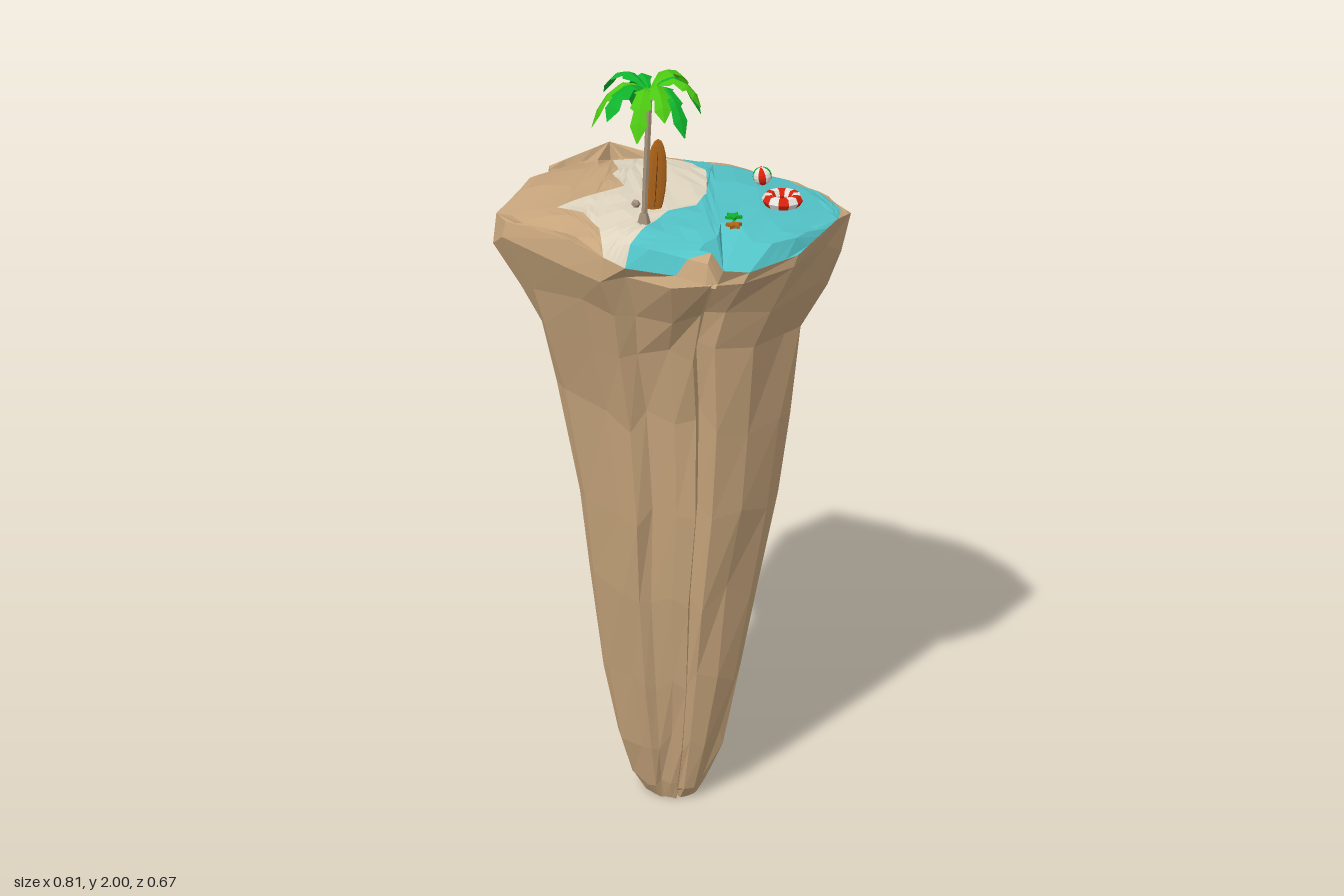
import * as THREE from 'three';

const mat = (name, color, flatShading = true, side = THREE.FrontSide) =>
  Object.assign(new THREE.MeshStandardMaterial({ color, flatShading, side }), { name });

const M = {
  rock: mat('rock brown', 0xc7a57c),
  sand: mat('pale sand', 0xded4bf),
  water: mat('lagoon teal', 0x52c2c6),
  leafDark: mat('deep green', 0x10b42c, true, THREE.DoubleSide),
  leafLight: mat('lime green', 0x4cc812, true, THREE.DoubleSide),
  trunk: mat('palm bark', 0xa39079),
  red: mat('red', 0xdc220c),
  white: mat('white', 0xe8e6e0),
  board: mat('varnished wood', 0xb0651a),
  stripe: mat('dark wood', 0x6a3a12),
};

function mesh(name, geo, material, parent) {
  const m = new THREE.Mesh(geo, material);
  m.name = name;
  parent.add(m);
  return m;
}

function fromTriangles(tris) {
  const g = new THREE.BufferGeometry();
  g.setAttribute('position', new THREE.Float32BufferAttribute(tris.flat(2), 3));
  g.computeVertexNormals();
  return g;
}

// repeatable jitter in -1..1
const jitter = (a, b) => {
  const s = Math.sin(a * 127.1 + b * 311.7) * 43758.5453;
  return (s - Math.floor(s)) * 2 - 1;
};

// height of the island top
const ground = (x, z) => {
  const edge = Math.hypot(x / (x > 0 ? 0.5 : 0.41), z / 0.33);
  return 1.66 - 0.05 * Math.min(1.1, edge ** 5) + 0.004 * Math.sin(x * 31 + z * 17) * Math.cos(z * 43);
};

// outline of the rim: x, z, y
const RIM = [
  [-0.40, -0.06, 1.61], [-0.37, -0.095, 1.60], [-0.40, -0.13, 1.615], [-0.33, -0.30, 1.635], [-0.12, -0.34, 1.60],
  [-0.03, -0.315, 1.60], [0.09, -0.33, 1.60], [0.16, -0.295, 1.62], [0.30, -0.225, 1.625], [0.405, -0.12, 1.645],
  [0.40, -0.06, 1.65], [0.375, 0.09, 1.61], [0.31, 0.20, 1.595], [0.255, 0.22, 1.595], [0.265, 0.275, 1.575],
  [0.17, 0.285, 1.59], [0.05, 0.30, 1.59], [0.0, 0.31, 1.61], [-0.10, 0.285, 1.625], [-0.30, 0.235, 1.615], [-0.34, 0.21, 1.62],
].map(([x, z, y], rim) => ({ x, z, y, rim }));

const inner = list => list.map(([x, z]) => ({ x, z, y: ground(x, z), rim: NaN }));

// region borders, shared so the patches join without gaps
const SHORE_BACK = inner([[0.37, -0.14], [0.30, -0.205], [0.20, -0.25], [0.11, -0.298], [0.06, -0.28],
  [-0.02, -0.25], [-0.09, -0.285], [-0.17, -0.295], [-0.205, -0.275], [-0.13, -0.24], [-0.06, -0.225]]);
const SAND_EDGE = inner([[-0.20, -0.21], [-0.235, -0.15], [-0.18, -0.08], [-0.18, -0.05], [-0.115, 0.01],
  [-0.15, 0.08], [-0.195, 0.18], [-0.12, 0.19], [-0.05, 0.24]]);
const BEACH = inner([[0, -0.18], [0.04, -0.11], [0.075, -0.04], [0.09, 0.04], [0.05, 0.10], [0.05, 0.20]]);

// triangulates a patch, then halves every edge so it follows the ground;
// edges along the rim stay straight to meet the column
function patch(points) {
  const mid = (a, b, step) => {
    const x = (a.x + b.x) / 2, z = (a.z + b.z) / 2;
    const start = Math.min(a.rim, b.rim), gap = Math.abs(a.rim - b.rim);
    const wraps = gap >= RIM.length - step;
    if (gap <= step || wraps) return { x, z, y: (a.y + b.y) / 2, rim: wraps ? RIM.length - step / 2 : start + gap / 2 };
    return { x, z, y: ground(x, z), rim: NaN };
  };
  let tris = THREE.ShapeUtils.triangulateShape(points.map(p => new THREE.Vector2(p.x, p.z)), [])
    .map(t => t.map(i => points[i]))
    .map(([a, b, c]) => ((b.z - a.z) * (c.x - a.x) - (b.x - a.x) * (c.z - a.z) > 0 ? [a, b, c] : [a, c, b]));
  for (const step of [1, 0.5]) {
    tris = tris.flatMap(([a, b, c]) => {
      const ab = mid(a, b, step), bc = mid(b, c, step), ca = mid(c, a, step);
      return [[a, ab, ca], [ab, b, bc], [ca, bc, c], [ab, bc, ca]];
    });
  }
  return fromTriangles(tris.map(t => t.map(p => [p.x, p.y, p.z])));
}

// tapering rock column: y, min x, max x, min z, max z
const LEVELS = [
  [1.565, -0.40, 0.393, -0.335, 0.315], [1.46, -0.335, 0.345, -0.31, 0.28], [1.35, -0.295, 0.29, -0.27, 0.245],
  [1.15, -0.267, 0.267, -0.26, 0.199], [0.90, -0.224, 0.234, -0.25, 0.169], [0.65, -0.215, 0.192, -0.23, 0.139],
  [0.40, -0.187, 0.15, -0.192, 0.09], [0.20, -0.157, 0.105, -0.157, 0.047], [0.05, -0.134, 0.062, -0.127, 0.007],
  [0, -0.10, 0.035, -0.11, -0.015],
];

function column() {
  const cracks = { 1: 0.94, 5: 0.95, 13: 0.91, 16: 0.91 };
  const rings = [RIM.map(p => [p.x, p.y, p.z])];
  LEVELS.forEach(([y, x0, x1, z0, z1], k) => {
    const cx = (x0 + x1) / 2, cz = (z0 + z1) / 2;
    const wobble = Math.min(0.04, y * 0.3, k < 3 ? 0.02 : 1);
    rings.push(RIM.map((p, i) => {
      // the column is slimmer across one diagonal
      const u = p.x / 0.4, v = p.z / 0.325;
      const slim = k ? 1 - 0.14 * ((u + v) ** 2 / (2 * (u * u + v * v))) ** 3 : 1;
      const s = slim * (cracks[i] ?? 1 + 0.03 * jitter(i, k));
      const x = x0 + (x1 - x0) * (p.x + 0.4) / 0.805, z = z0 + (z1 - z0) * (p.z + 0.34) / 0.65;
      const rise = y ? wobble * jitter(k + 3, i) : 0.02 * Math.max(0, jitter(i, 9));
      return [cx + (x - cx) * s, y + rise, cz + (z - cz) * s];
    }));
  });
  const tris = [], n = RIM.length;
  for (let k = 0; k < rings.length - 1; k++) {
    for (let i = 0; i < n; i++) {
      const j = (i + 1) % n, a = rings[k], b = rings[k + 1];
      tris.push([a[i], a[j], b[j]], [a[i], b[j], b[i]]);
    }
  }
  const last = rings[rings.length - 1];
  last.forEach((p, i) => tris.push([p, last[(i + 1) % n], [-0.03, 0.01, -0.06]]));
  return fromTriangles(tris);
}

// folded palm frond along +x with a saw-toothed edge
function frond(length, lift) {
  const steps = [[0, 0, 0.004], [0.25, 0.022, 0.012], [0.45, 0.03, 0.023], [0.5, 0.028, 0.015], [0.7, 0.014, 0.024],
    [0.75, 0.008, 0.014], [0.88, -0.014, 0.019], [1, -0.05, 0.001]];
  const rows = steps.map(([t, y, w]) => {
    const h = y + lift * t * t;
    return [[t * length, h - w * 0.45, -w], [t * length, h, 0], [t * length, h - w * 0.45, w]];
  });
  const tris = [];
  for (let i = 0; i < rows.length - 1; i++) {
    for (let s = 0; s < 2; s++) {
      const a = rows[i], b = rows[i + 1];
      tris.push([a[s], a[s + 1], b[s + 1]], [a[s], b[s + 1], b[s]]);
    }
  }
  return fromTriangles(tris);
}

function palm() {
  const g = new THREE.Group();
  g.name = 'palmTree';
  const path = new THREE.CatmullRomCurve3([[0.035, 1.61, 0.185], [0.036, 1.72, 0.182], [0.041, 1.84, 0.179], [0.045, 1.962, 0.175]]
    .map(p => new THREE.Vector3(...p)));
  mesh('palmTrunk', new THREE.TubeGeometry(path, 5, 0.0075, 6), M.trunk, g);
  mesh('palmRoot', new THREE.CylinderGeometry(0.009, 0.022, 0.05, 6), M.trunk, g).position.set(0.035, 1.655, 0.185);
  // frond tips: x, z, and whether the frond is dark
  const tips = [[0.07, 0.05, 0], [0.115, 0.065, 1], [0.16, 0.15, 0], [0.16, 0.225, 1], [0.14, 0.28, 0],
    [0.085, 0.305, 0], [0.025, 0.33, 1], [-0.055, 0.26, 0], [-0.08, 0.16, 1], [-0.045, 0.09, 1]];
  tips.forEach(([x, z, dark], i) => {
    const dx = x - 0.045, dz = z - 0.175;
    const f = mesh('palmFrond', frond(Math.hypot(dx, dz), i % 2 ? -0.025 : 0.024), dark ? M.leafDark : M.leafLight, g);
    f.position.set(0.045, 1.965, 0.175);
    f.rotation.y = Math.atan2(-dz, dx);
  });
  return g;
}

// lens-shaped board with a stripe down the middle
function surfboard() {
  const g = new THREE.Group();
  g.name = 'surfboard';
  mesh('surfboardBody', new THREE.SphereGeometry(1, 12, 10).scale(0.025, 0.097, 0.006), M.board, g);
  mesh('surfboardStripe', new THREE.SphereGeometry(1, 8, 10).scale(0.0025, 0.088, 0.0072), M.stripe, g);
  g.position.set(0.017, 1.728, 0.097);
  g.rotation.set(0, 0.72, -0.06, 'YXZ');
  return g;
}

function starfish(name, x, z, radius, material, turn, parent) {
  const shape = new THREE.Shape(Array.from({ length: 10 }, (_, i) => {
    const r = i % 2 ? radius * 0.5 : radius, a = i * Math.PI / 5;
    return new THREE.Vector2(r * Math.cos(a), r * Math.sin(a));
  }));
  const geo = new THREE.ExtrudeGeometry(shape, { depth: 0.008, bevelEnabled: false }).rotateX(-Math.PI / 2).rotateY(turn);
  mesh(name, geo, material, parent).position.set(x, ground(x, z), z);
}

export function createModel() {
  const root = new THREE.Group();
  root.name = 'pillarIsland';

  // rock and island top
  mesh('rockColumn', column(), M.rock, root);
  const rev = a => [...a].reverse();
  const backEnd = SHORE_BACK[SHORE_BACK.length - 1];
  mesh('rockTop', patch([...RIM.slice(17), ...RIM.slice(0, 11), ...SHORE_BACK, ...SAND_EDGE]), M.rock, root);
  mesh('rockSpur', patch(RIM.slice(13, 16)), M.rock, root);
  mesh('sandBeach', patch([backEnd, ...SAND_EDGE, RIM[17], RIM[16], ...rev(BEACH)]), M.sand, root);
  mesh('lagoon', patch([...RIM.slice(10, 14), RIM[15], RIM[16], ...rev(BEACH), ...rev(SHORE_BACK)]), M.water, root);

  root.add(palm(), surfboard());
  mesh('beachStone', new THREE.IcosahedronGeometry(0.011), M.trunk, root).position.set(-0.025, 1.668, 0.115);

  // swim ring in alternating arcs
  const ring = new THREE.Group();
  ring.name = 'swimRing';
  const arc = Math.PI / 6;
  for (let i = 0; i < 12; i++) {
    const seg = new THREE.TorusGeometry(0.033, 0.0145, 6, 1, arc).rotateX(Math.PI / 2).rotateY((i - 0.5) * arc);
    mesh('swimRingSegment', seg, i % 2 ? M.red : M.white, ring);
  }
  ring.position.set(0.27, 1.681, -0.04);
  root.add(ring);

  // beach ball in coloured gores
  const ball = new THREE.Group();
  ball.name = 'beachBall';
  const gores = [M.leafDark, M.white, M.red, M.white];
  for (let i = 0; i < 8; i++) {
    mesh('beachBallGore', new THREE.SphereGeometry(0.022, 2, 8, i * Math.PI / 4, Math.PI / 4), gores[i % 4], ball);
  }
  ball.position.set(0.18, 1.697, -0.115);
  ball.rotation.set(0.1, 0.1, 0.1);
  root.add(ball);

  starfish('greenStarfish', 0.198, 0.063, 0.021, M.leafDark, 0.3, root);
  starfish('brownStarfish', 0.225, 0.112, 0.019, M.board, 0.9, root);
  return root;
}
